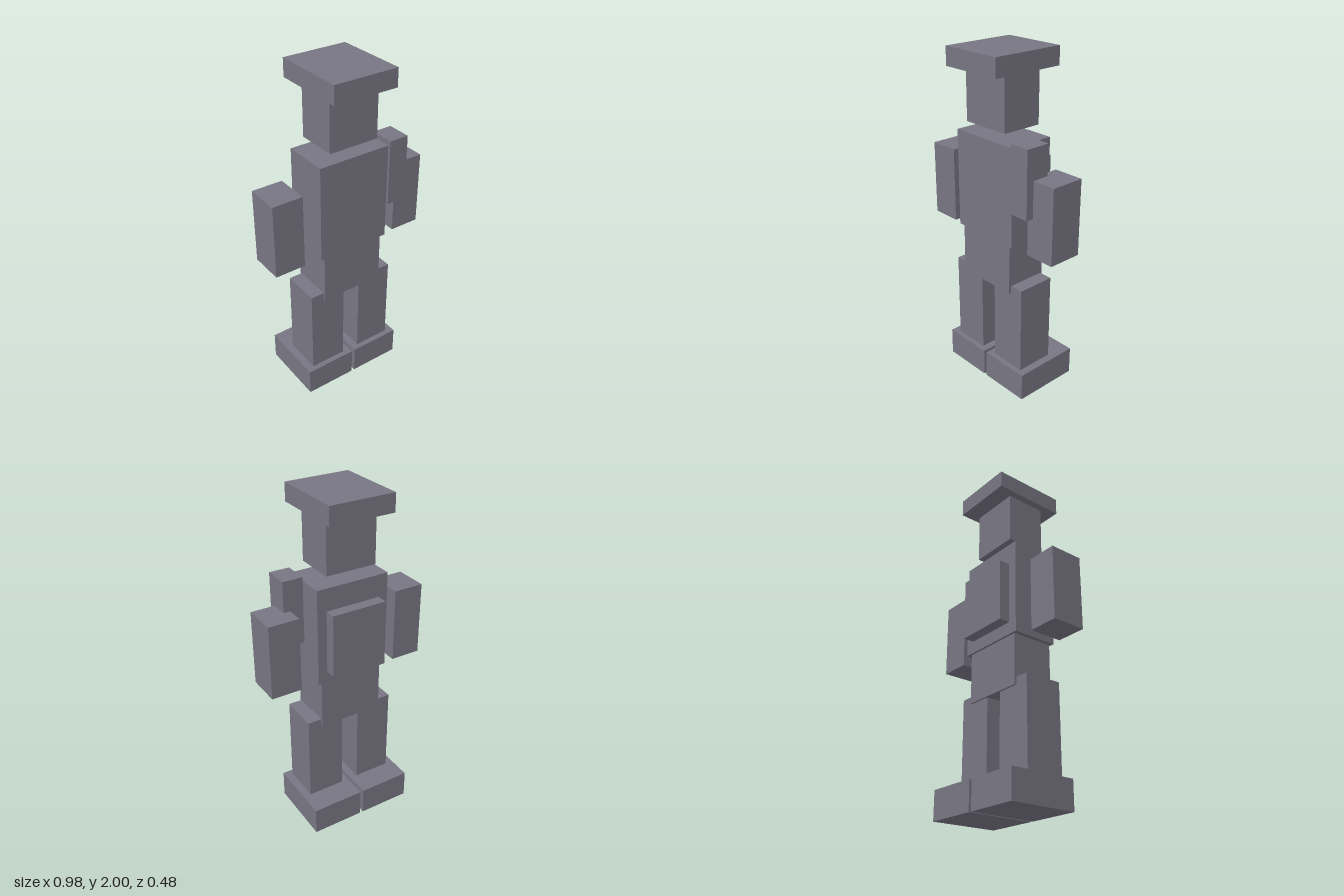
import * as THREE from 'three';

export function createModel() {
  const model = new THREE.Group();
  model.name = 'blockFigure';

  const slateGrey = new THREE.MeshStandardMaterial({ color: 0x777582 });
  slateGrey.name = 'slateGrey';

  // Box given by its [min, max] extent along each axis
  function block(name, [x0, x1], [y0, y1], [z0, z1]) {
    const mesh = new THREE.Mesh(new THREE.BoxGeometry(x1 - x0, y1 - y0, z1 - z0), slateGrey);
    mesh.position.set((x0 + x1) / 2, (y0 + y1) / 2, (z0 + z1) / 2);
    mesh.name = name;
    model.add(mesh);
  }

  // Mirrored pair, extents given for the left (+x) side
  function pair(name, [x0, x1], y, z) {
    block('left' + name, [x0, x1], y, z);
    block('right' + name, [-x1, -x0], y, z);
  }

  // Head and flat cap
  block('cap', [-0.194, 0.194], [1.895, 2], [-0.205, 0.24]);
  block('head', [-0.152, 0.152], [1.587, 1.895], [-0.102, 0.143]);

  // Body
  block('torso', [-0.221, 0.221], [0.955, 1.53], [-0.121, 0.156]);
  block('pelvis', [-0.194, 0.194], [0.656, 0.955], [-0.108, 0.147]);
  block('backPlate', [-0.165, 0.165], [1.028, 1.398], [-0.188, -0.122]);
  block('shoulderPack', [0.226, 0.346], [1.165, 1.556], [0.018, 0.166]);

  // Limbs
  pair('Arm', [0.307, 0.49], [0.937, 1.378], [-0.084, 0.12]);
  pair('Leg', [0.055, 0.278], [0.168, 0.7], [-0.097, 0.134]);
  pair('Foot', [0.01, 0.325], [0, 0.168], [-0.241, 0.166]);

  return model;
}
